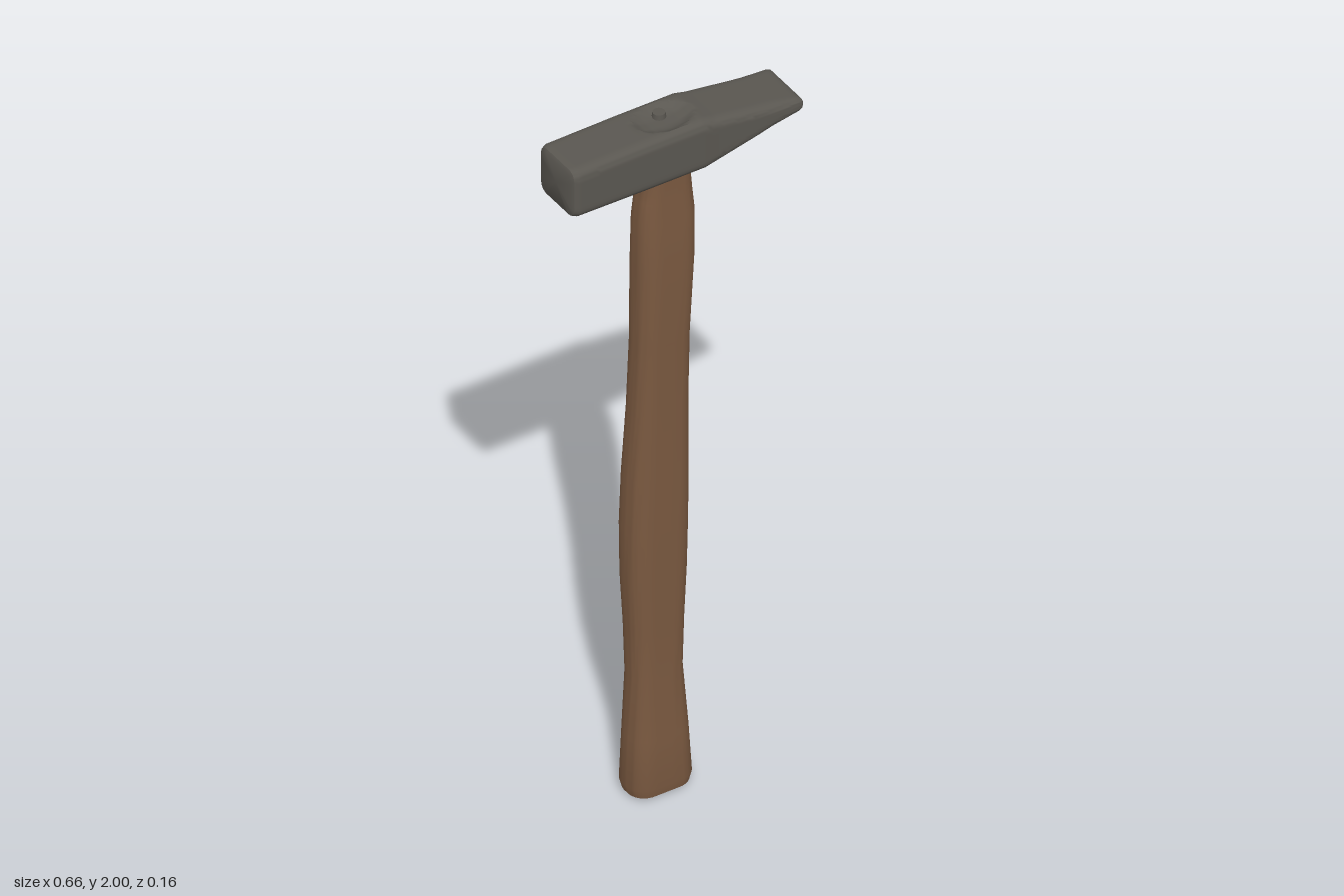
import * as THREE from 'three';
import { toCreasedNormals } from 'three/addons/utils/BufferGeometryUtils.js';

const { lerp, clamp } = THREE.MathUtils;

// Closed rounded-rectangle loop, n points per side, counter-clockwise as [u, v].
function roundedLoop(hu, hv, r, n) {
  const corners = [[1, -1], [1, 1], [-1, 1], [-1, -1]];
  const loop = [];
  corners.forEach(([u0, v0], s) => {
    const [u1, v1] = corners[(s + 1) % 4];
    for (let i = 0; i < n; i++) {
      const u = lerp(u0, u1, i / n) * hu, v = lerp(v0, v1, i / n) * hv;
      const cu = clamp(u, r - hu, hu - r), cv = clamp(v, r - hv, hv - r);
      const d = Math.hypot(u - cu, v - cv) || 1;
      loop.push([cu + (u - cu) / d * r, cv + (v - cv) / d * r]);
    }
  });
  return loop;
}

// Skin over a list of equal-length point loops, closed at both ends.
function loft(loops, crease) {
  const n = loops[0].length, pos = loops.flat(2), index = [];
  for (let i = 0; i < loops.length - 1; i++) {
    for (let j = 0; j < n; j++) {
      const a = i * n + j, b = i * n + (j + 1) % n;
      index.push(a, a + n, b, b, a + n, b + n);
    }
  }
  [0, loops.length - 1].forEach((row, end) => {
    const centre = pos.length / 3;
    for (let k = 0; k < 3; k++) pos.push(loops[row].reduce((t, p) => t + p[k], 0) / n);
    for (let j = 0; j < n; j++) {
      const a = row * n + j, b = row * n + (j + 1) % n;
      if (end) index.push(centre, b, a);
      else index.push(centre, a, b);
    }
  });
  const geo = new THREE.BufferGeometry();
  geo.setAttribute('position', new THREE.Float32BufferAttribute(pos, 3));
  geo.setIndex(index);
  return toCreasedNormals(geo, crease);
}

// Handle: [y, xMin, xMax, zMin, zMax]
const HANDLE = [
  [0.008, -0.105, 0.035, -0.06, 0.025],
  [0.016, -0.118, 0.048, -0.071, 0.036],
  [0.04, -0.124, 0.054, -0.075, 0.04],
  [0.18, -0.118, 0.045, -0.072, 0.037],
  [0.36, -0.11, 0.031, -0.066, 0.029],
  [0.5, -0.114, 0.035, -0.069, 0.031],
  [0.65, -0.122, 0.042, -0.073, 0.034],
  [0.8, -0.124, 0.045, -0.074, 0.036],
  [0.95, -0.12, 0.045, -0.07, 0.037],
  [1.15, -0.11, 0.042, -0.061, 0.038],
  [1.35, -0.105, 0.043, -0.055, 0.042],
  [1.58, -0.106, 0.052, -0.052, 0.05],
  [1.72, -0.104, 0.053, -0.047, 0.047],
  [1.78, -0.098, 0.047, -0.043, 0.044],
  [1.82, -0.092, 0.043, -0.041, 0.044],
  [1.92, -0.098, 0.048, -0.041, 0.044],
];

function handleGeometry() {
  return loft(HANDLE.map(([y, x0, x1, z0, z1]) => {
    const hx = (x1 - x0) / 2, hz = (z1 - z0) / 2;
    return roundedLoop(hx, hz, hz * 0.85, 12)
      .map(([u, v]) => [(x0 + x1) / 2 + u, y, (z0 + z1) / 2 + v]);
  }), 0.7);
}

// Head: [x, yMin, yMax, half depth]
const HEAD = [
  [-0.329, 1.869, 1.986, 0.064],
  [-0.324, 1.86, 1.994, 0.073],
  [-0.312, 1.857, 1.997, 0.078],
  [-0.11, 1.855, 2.0, 0.078],
  [0.05, 1.855, 2.0, 0.078],
  [0.08, 1.861, 1.993, 0.077],
  [0.2, 1.889, 1.975, 0.077],
  [0.315, 1.92, 1.959, 0.077],
  [0.324, 1.925, 1.955, 0.075],
  [0.328, 1.931, 1.949, 0.07],
];

function headGeometry() {
  const rows = [];
  HEAD.forEach((row, i) => {
    const next = HEAD[i + 1];
    const steps = next ? Math.max(1, Math.round((next[0] - row[0]) / 0.01)) : 1;
    for (let s = 0; s < steps; s++) {
      rows.push(next ? row.map((v, k) => lerp(v, next[k], s / steps)) : row);
    }
  });
  return loft(rows.map(([x, y0, y1, hz]) => {
    const hy = (y1 - y0) / 2;
    return roundedLoop(hz, hy, Math.min(0.024, hy * 0.7), 16).map(([u, v]) => {
      // shallow oval hollow over the eye of the head
      const d = ((x + 0.025) / 0.08) ** 2 + (u / 0.055) ** 2;
      const dip = v > 0 && d < 1 ? 0.018 * (1 - d * d) : 0;
      return [x, (y0 + y1) / 2 + v - dip, u];
    });
  }), 0.6);
}

export function createModel() {
  const wood = new THREE.MeshStandardMaterial({ color: 0x7a5940 });
  wood.name = 'brown wood';
  const steel = new THREE.MeshStandardMaterial({ color: 0x5a5751 });
  steel.name = 'dark steel';

  const group = new THREE.Group();
  group.name = 'hammer';
  const add = (name, geo, mat) => {
    const mesh = new THREE.Mesh(geo, mat);
    mesh.name = name;
    group.add(mesh);
    return mesh;
  };

  add('handle', handleGeometry(), wood);
  add('head', headGeometry(), steel);
  // Small pin that wedges the handle into the head
  add('wedgePin', new THREE.CylinderGeometry(0.016, 0.02, 0.03, 12), steel)
    .position.set(-0.02, 1.981, -0.025);

  // Stand on the ground
  group.children.forEach((m) => { m.geometry.computeBoundingBox(); });
  group.children[0].position.y = -0.008;
  group.children[0].scale.y = 1.004;
  return group;
}
